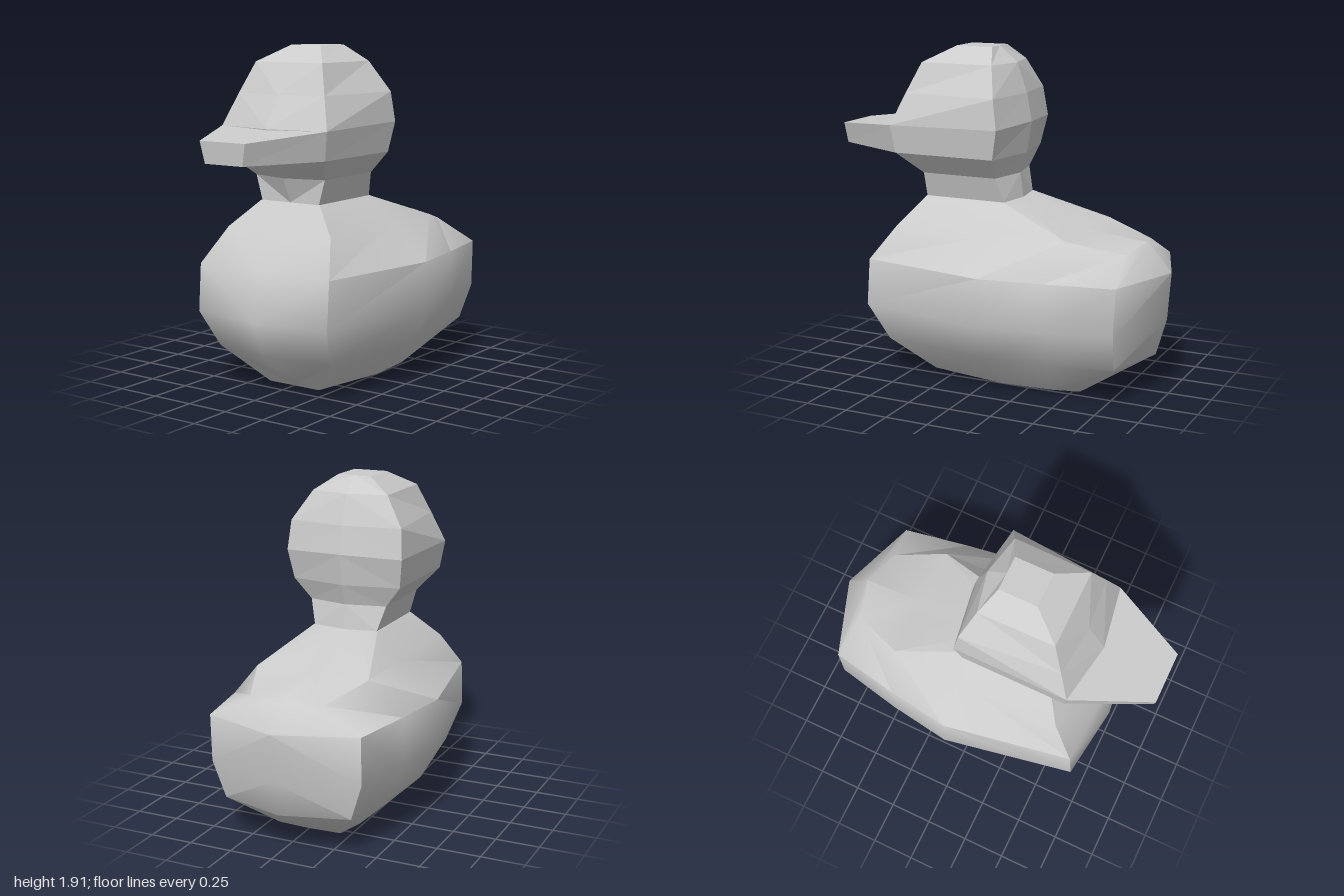
import * as THREE from 'three';
import { toCreasedNormals } from 'three/addons/utils/BufferGeometryUtils.js';

// Closed loft through rings stacked upwards. Each ring is a half outline on +x,
// running from the front centre to the back centre, and is mirrored to -x.
function loft(halfRings) {
  const rings = halfRings.map((half) => [
    ...half,
    ...half.slice(1, -1).reverse().map(([x, y, z]) => [-x, y, z]),
  ].map((p) => new THREE.Vector3(...p)));
  const pos = [];
  const tri = (a, b, c) => {
    const area = b.clone().sub(a).cross(c.clone().sub(a)).length();
    if (area > 1e-6) for (const p of [a, b, c]) pos.push(p.x, p.y, p.z);
  };
  const n = rings[0].length;
  for (let r = 0; r < rings.length - 1; r++) {
    const lo = rings[r], hi = rings[r + 1];
    for (let i = 0; i < n; i++) {
      const j = (i + 1) % n;
      // Mirror the diagonal so both sides match
      if (i < n / 2) {
        tri(lo[i], lo[j], hi[j]);
        tri(lo[i], hi[j], hi[i]);
      } else {
        tri(lo[i], lo[j], hi[i]);
        tri(lo[j], hi[j], hi[i]);
      }
    }
  }
  // End caps
  const bottom = rings[0], top = rings[rings.length - 1];
  for (let i = 1; i < n - 1; i++) {
    tri(bottom[0], bottom[i + 1], bottom[i]);
    tri(top[0], top[i], top[i + 1]);
  }
  const geo = new THREE.BufferGeometry();
  geo.setAttribute('position', new THREE.Float32BufferAttribute(pos, 3));
  geo.computeVertexNormals();
  return geo;
}

export function createModel() {
  const group = new THREE.Group();
  const smooth = new THREE.MeshStandardMaterial({ color: 0xcccccc });
  const flat = new THREE.MeshStandardMaterial({ color: 0xcccccc, flatShading: true });
  const add = (name, geo, mat) => {
    const mesh = new THREE.Mesh(geo, mat);
    mesh.name = name;
    group.add(mesh);
  };

  // Body: front centre, front corner, side, rear side, rear corner, tail centre
  const body = loft([
    [[0, 0, 0.39], [0.17, 0, 0.39], [0.25, 0, -0.08], [0.23, 0, -0.38], [0.19, 0, -0.54], [0, 0, -0.55]],
    [[0, 0.22, 0.66], [0.38, 0.22, 0.58], [0.48, 0.22, -0.08], [0.44, 0.22, -0.45], [0.38, 0.22, -0.81], [0, 0.22, -0.92]],
    [[0, 0.43, 0.75], [0.44, 0.43, 0.69], [0.585, 0.43, -0.08], [0.53, 0.43, -0.45], [0.45, 0.43, -0.83], [0, 0.43, -0.98]],
    [[0, 0.7, 0.69], [0.44, 0.7, 0.67], [0.575, 0.7, -0.08], [0.52, 0.7, -0.45], [0.45, 0.7, -0.84], [0, 0.7, -1]],
    [[0, 0.9, 0.53], [0.35, 0.9, 0.53], [0.35, 0.9, -0.08], [0.34, 0.9, -0.5], [0.22, 0.83, -0.8], [0, 0.86, -0.86]],
    // Fold across the back, in front of the tail
    [[0, 0.9, 0.53], [0.35, 0.9, 0.53], [0.35, 0.9, -0.08], [0.34, 0.9, -0.5], [0.17, 0.9, -0.5], [0, 0.9, -0.5]],
    [[0, 1.05, 0.42], [0.2, 1.05, 0.42], [0.2, 1.05, 0.15], [0.2, 1.05, -0.07], [0.1, 1.05, -0.085], [0, 1.05, -0.1]],
  ]);
  add('body', toCreasedNormals(body, 0.75), smooth);

  // Neck and head: front centre, front corner, rear corner, back centre
  const neckTop = [[0, 1.19, 0.48], [0.235, 1.19, 0.42], [0.235, 1.19, -0.03], [0, 1.19, -0.08]];
  add('neck', loft([
    [[0, 1.05, 0.42], [0.195, 1.05, 0.42], [0.195, 1.05, -0.07], [0, 1.05, -0.1]],
    neckTop,
  ]), flat);
  add('head', loft([
    neckTop,
    [[0, 1.31, 0.6], [0.33, 1.31, 0.55], [0.33, 1.31, -0.06], [0, 1.31, -0.12]],
    [[0, 1.47, 0.63], [0.355, 1.47, 0.57], [0.355, 1.48, -0.095], [0, 1.49, -0.15]],
    [[0, 1.65, 0.53], [0.29, 1.65, 0.5], [0.34, 1.65, -0.07], [0, 1.65, -0.12]],
    [[0, 1.82, 0.43], [0.225, 1.82, 0.43], [0.23, 1.82, -0.01], [0, 1.82, -0.06]],
    [[0, 1.91, 0.27], [0.1, 1.91, 0.27], [0.1, 1.91, 0.05], [0, 1.91, 0.05]],
  ]), flat);

  // Flat tapering beak, its root meeting the face
  add('beak', loft([
    [[0, 1.31, 0.99], [0.125, 1.31, 0.99], [0.33, 1.31, 0.55], [0, 1.31, 0.55]],
    [[0, 1.43, 1], [0.15, 1.43, 1], [0.355, 1.47, 0.57], [0, 1.47, 0.57]],
  ]), flat);

  return group;
}
